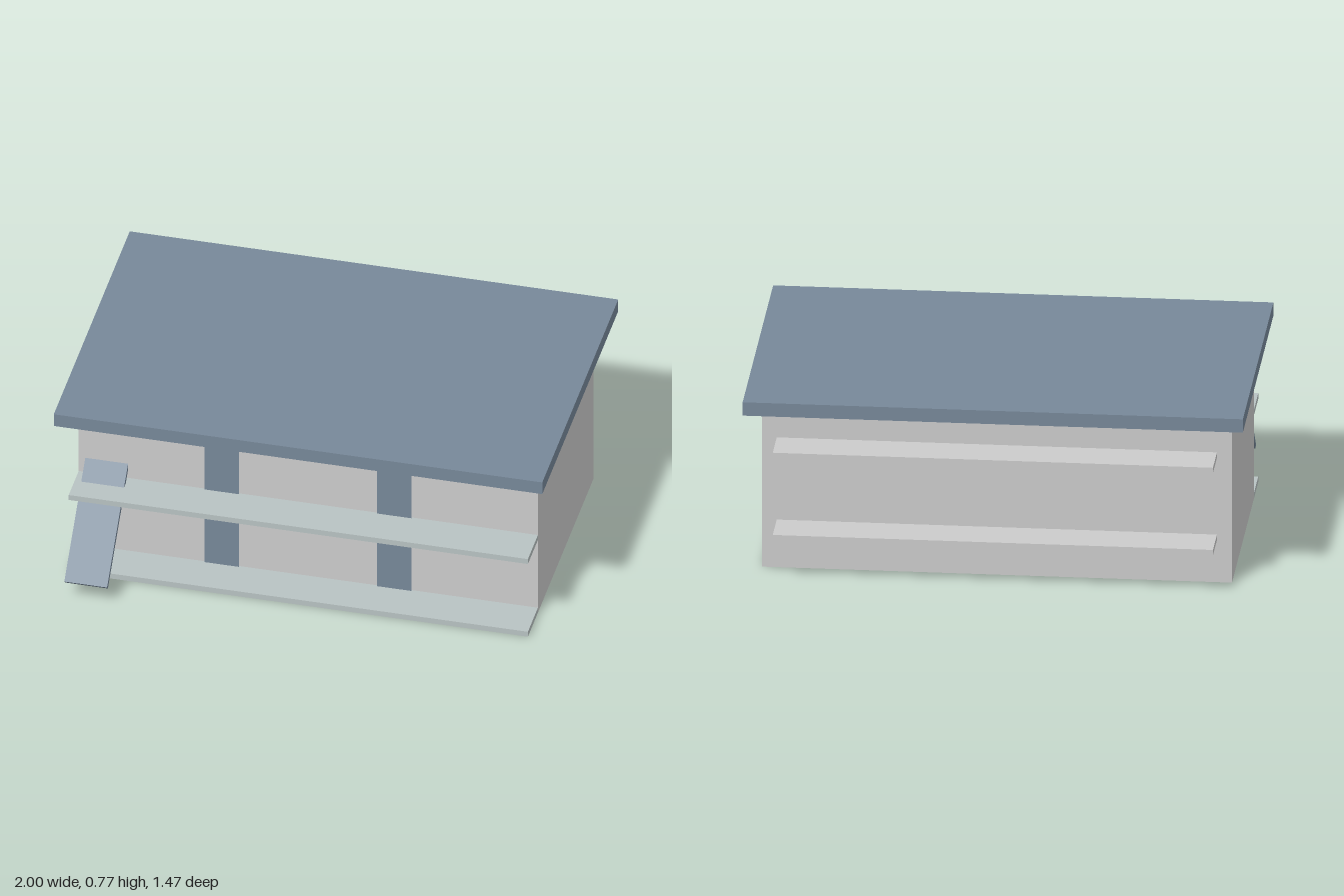
import * as THREE from 'three';

export function createModel() {
  const model = new THREE.Group();
  const grey = new THREE.MeshStandardMaterial({ color: 0xcccccc });
  const slate = new THREE.MeshStandardMaterial({ color: 0x778899 });
  const paleGreen = new THREE.MeshStandardMaterial({ color: 0xb8c2c2 });

  // Box given by its extents along each axis
  function block(name, material, [x0, x1], [y0, y1], [z0, z1]) {
    const mesh = new THREE.Mesh(new THREE.BoxGeometry(x1 - x0, y1 - y0, z1 - z0), material);
    mesh.position.set((x0 + x1) / 2, (y0 + y1) / 2, (z0 + z1) / 2);
    mesh.name = name;
    model.add(mesh);
    return mesh;
  }

  // Main building and overhanging flat roof
  block('walls', grey, [-0.94, 0.94], [0, 0.71], [-0.562, 0.38]);
  block('roof', slate, [-1, 1], [0.71, 0.767], [-0.737, 0.555]);

  // Front walkways with two doors on each storey
  for (const y of [0, 0.355]) {
    block('walkway', paleGreen, [-0.94, 0.94], [y, y + 0.024], [0.38, 0.55]);
    for (const x of [-0.353, 0.353])
      block('door', slate, [x - 0.07, x + 0.07], [y + 0.024, y + 0.272], [0.37, 0.386]);
  }

  // Sun shades along the back wall
  for (const y of [0.18, 0.531])
    block('backShade', grey, [-0.88, 0.88], [y, y + 0.023], [-0.732, -0.562]);

  // Stair ramp, sloping down and forward through the upper walkway
  const ramp = block('stairRamp', slate, [-0.913, -0.738], [0.2775, 0.2985], [0.235, 0.815]);
  ramp.rotation.x = Math.PI / 4;

  return model;
}
